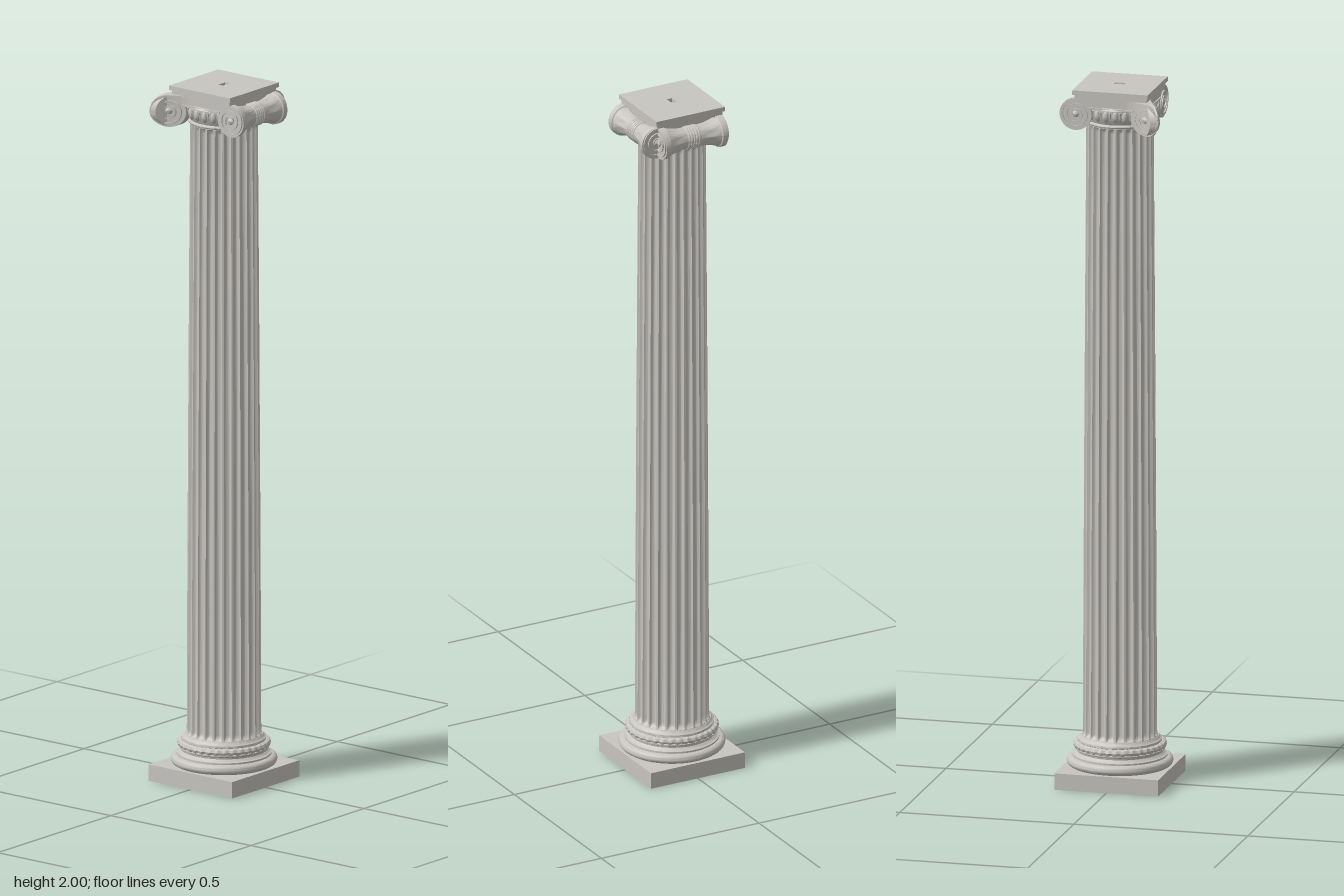
import * as THREE from 'three';
import { toCreasedNormals } from 'three/addons/utils/BufferGeometryUtils.js';

const TAU = Math.PI * 2;
const VOLUTE = { x: 0.102, y: 1.93, r: 0.046 }; // scroll centre offset, height and radius
const FACE = 0.097;                             // distance of the scroll faces from the axis

export function createModel() {
  const stone = new THREE.MeshStandardMaterial({ color: 0xc8c5c0 });
  stone.name = 'pale stone';
  const model = new THREE.Group();
  model.name = 'column';

  const add = (parent, name, geometry, crease = 0.6) => {
    const mesh = new THREE.Mesh(toCreasedNormals(geometry, crease), stone);
    mesh.name = name;
    parent.add(mesh);
    return mesh;
  };
  const box = (w, h, d, x, y, z, segs = 1) => new THREE.BoxGeometry(w, h, d, segs).translate(x, y, z);
  const lathe = (pts, segs) => new THREE.LatheGeometry(pts.map(p => new THREE.Vector2(p[0], p[1])), segs);
  // Moves every vertex by a rule
  const warp = (geometry, rule) => {
    const p = geometry.attributes.position, v = new THREE.Vector3();
    for (let i = 0; i < p.count; i++) {
      rule(v.fromBufferAttribute(p, i));
      p.setXYZ(i, v.x, v.y, v.z);
    }
    geometry.computeVertexNormals();
    return geometry;
  };
  // Half-round moulding points from angle -90 to 90 degrees
  const roll = (r, y, rr, ry, n = 8) => Array.from({ length: n + 1 }, (_, i) => {
    const a = -Math.PI / 2 + Math.PI * i / n;
    return [r + rr * Math.cos(a), y + ry * Math.sin(a)];
  });
  // Ring of ornament with a twisted, rope-like surface
  const rope = (R, r, y, strands, twist) => warp(
    new THREE.TorusGeometry(R, r, 8, strands * 6).rotateX(Math.PI / 2), v => {
      const u = Math.atan2(v.z, v.x), d = Math.hypot(v.x, v.z) - R;
      const k = 1 + 0.16 * Math.cos(strands * u + twist * Math.atan2(v.y, d));
      v.set((R + d * k) * Math.cos(u), v.y * k + y, (R + d * k) * Math.sin(u));
    });

  // Base
  const base = new THREE.Group();
  base.name = 'base';
  model.add(base);
  add(base, 'plinth', box(0.298, 0.047, 0.298, 0, 0.0235, 0));
  add(base, 'baseMouldings', lathe([
    [0, 0.047], ...roll(0.134, 0.061, 0.0145, 0.014), [0.132, 0.075], [0.132, 0.08],
    [0.124, 0.083], [0.12, 0.088], [0.121, 0.093], [0.126, 0.096], [0.126, 0.099],
    ...roll(0.116, 0.108, 0.01, 0.009), [0.117, 0.118], [0.117, 0.124],
    [0.112, 0.126], [0.108, 0.132], [0, 0.132]], 72), 0.7);
  add(base, 'baseRope', rope(0.12, 0.0095, 0.108, 36, 1));

  // Fluted, tapering shaft with rounded flute ends
  const FLUTES = 24, STEPS = 10, y0 = 0.125, y1 = 1.9;
  const ys = [y0, 0.13, 0.134, 0.136, 0.139, 0.144, 0.15];
  for (let i = 1; i < 8; i++) ys.push(0.15 + 1.725 * i / 8);
  ys.push(1.875, 1.881, 1.886, 1.889, 1.891, 1.895, y1);
  const pos = [], index = [], around = FLUTES * STEPS;
  ys.forEach(y => {
    const t = (y - y0) / (y1 - y0);
    const flare = 0.006 * Math.max(0, 1 - (y - y0) / 0.02) ** 2;
    const r = 0.1035 - 0.0095 * t ** 1.3 + flare;
    const end = Math.min(1, Math.max(0, Math.min(y - 0.134, 1.891 - y) / 0.016));
    const depth = 0.0105 * Math.sqrt(1 - (1 - end) ** 2);
    for (let i = 0; i < around; i++) {
      const s = (i % STEPS) / STEPS;          // position across one fillet and flute
      const u = (s - 0.6) / 0.4;
      const rr = r - depth * Math.sqrt(Math.max(0, 1 - u * u));
      const a = TAU * (i / STEPS + 0.4) / FLUTES;
      pos.push(rr * Math.sin(a), y, rr * Math.cos(a));
    }
  });
  for (let j = 0; j < ys.length - 1; j++) for (let i = 0; i < around; i++) {
    const a = j * around + i, b = j * around + (i + 1) % around;
    index.push(a, b, b + around, a, b + around, a + around);
  }
  const shaft = new THREE.BufferGeometry();
  shaft.setAttribute('position', new THREE.Float32BufferAttribute(pos, 3));
  shaft.setIndex(index);
  add(model, 'flutedShaft', shaft, 0.55);

  // Capital: neck beads, echinus and eggs
  const capital = new THREE.Group();
  capital.name = 'capital';
  model.add(capital);
  add(capital, 'echinus', lathe([
    [0, 1.892], [0.094, 1.892], ...roll(0.094, 1.898, 0.004, 0.005, 6),
    [0.095, 1.905], [0.1, 1.915], [0.105, 1.93], [0.105, 1.945], [0.1, 1.952], [0, 1.952]], 64));
  add(capital, 'neckBeads', rope(0.0965, 0.004, 1.898, 48, 0));
  for (let i = 0; i < FLUTES; i++) {
    const a = TAU * (i + 0.5) / FLUTES;
    const egg = new THREE.SphereGeometry(1, 10, 8).scale(0.0085, 0.017, 0.008);
    add(capital, 'egg', egg.rotateX(0.2).translate(0, 1.927, 0.103).rotateY(a));
    const dart = new THREE.ConeGeometry(0.003, 0.03, 4).rotateX(Math.PI + 0.2);
    add(capital, 'dart', dart.translate(0, 1.927, 0.105).rotateY(a + TAU / FLUTES / 2));
  }
  add(capital, 'capitalCore', box(0.188, 0.03, 0.188, 0, 1.963, 0));

  // Spiral ridge and eye on one scroll face; side is the direction the scroll curls
  const spiral = side => {
    const turns = 2.25, n = 72, outer = [], inner = [];
    for (let i = 0; i <= n; i++) {
      const k = i / n, t = TAU * turns * k, r = VOLUTE.r - (VOLUTE.r - 0.012) * k;
      const at = q => new THREE.Vector2(side * (VOLUTE.x + q * Math.sin(t)), VOLUTE.y + q * Math.cos(t));
      outer.push(at(r));
      inner.unshift(at(r - 0.0065 + 0.003 * k));
    }
    return new THREE.ExtrudeGeometry(new THREE.Shape([...outer, ...inner]),
      { depth: 0.005, bevelEnabled: false }).translate(0, 0, FACE - 0.001);
  };
  const eye = side => new THREE.SphereGeometry(0.0095, 16, 10).scale(1, 1, 0.6)
    .translate(side * VOLUTE.x, VOLUTE.y, FACE);
  const disc = side => {
    const rs = [0, 0.25, 0.5, 0.75, 1].map(k => k * VOLUTE.r);
    return lathe([...rs.map(r => [r, -0.022]), ...rs.reverse().map(r => [r, 0])], 40)
      .rotateX(Math.PI / 2).translate(side * VOLUTE.x, VOLUTE.y, FACE);
  };

  // Scrolled face whose end on side s sweeps out to the shared diagonal corner
  const scrolledFace = (s, angle, name) => {
    const face = new THREE.Group();
    face.name = name;
    face.rotation.y = angle;
    capital.add(face);
    const bend = g => warp(g, v => {
      v.z += 0.048 * Math.max(0, (s * v.x - 0.045) / 0.1) ** 1.5;
    });
    const top = VOLUTE.y + VOLUTE.r, w = VOLUTE.x * 2;
    add(face, 'channel', bend(box(w, 0.03, 0.02, 0, top - 0.015, FACE - 0.01, 24)));
    add(face, 'upperRim', bend(box(w, 0.006, 0.005, 0, top - 0.003, FACE + 0.0015, 24)));
    add(face, 'lowerRim', bend(box(0.13, 0.005, 0.005, 0, top - 0.0275, FACE + 0.0015, 24)));
    add(face, 'cornerScroll', bend(disc(s)));
    for (const side of [-1, 1]) {
      add(face, 'scrollSpiral', bend(spiral(side)));
      add(face, 'scrollEye', bend(eye(side)));
    }
  };
  scrolledFace(-1, 0, 'frontFace');
  scrolledFace(1, -Math.PI / 2, 'rightFace');

  // Bolsters: waisted rolls with leaf ribs and a banded belt
  const half = [[0.0305, 0.024], [0.031, 0.03], [0.032, 0.042], [0.0345, 0.055], [0.038, 0.068],
    [0.041, 0.077], [0.042, 0.08], [0.0455, 0.082], [0.046, 0.086], [0.046, FACE], [0, FACE]];
  const belt = [-0.016, -0.008, 0, 0.008, 0.016].flatMap(y => roll(0.031, y, 0.003, 0.004, 4));
  const profile = [...half.map(([r, y]) => [r, -y]).reverse(), ...belt, ...half];
  const bolster = () => warp(lathe(profile, 64), v => {
    const t = Math.abs(v.y);
    if (t < 0.023 || t > 0.0785) return;
    const k = 1 + 0.045 * Math.cos(8 * Math.atan2(v.z, v.x)) * Math.sin((t - 0.023) / 0.0555 * Math.PI);
    v.x *= k;
    v.z *= k;
  });
  add(capital, 'leftBolster', bolster().rotateX(Math.PI / 2).translate(VOLUTE.x, VOLUTE.y, 0));
  add(capital, 'backBolster', bolster().rotateZ(Math.PI / 2).translate(0, VOLUTE.y, -VOLUTE.x));

  // Scroll faces meeting in the inner corner
  for (const [side, angle] of [[-1, Math.PI], [1, Math.PI / 2]]) {
    add(capital, 'innerSpiral', spiral(side).rotateY(angle));
    add(capital, 'innerEye', eye(side).rotateY(angle));
  }

  // Abacus with a small rectangular socket in the top
  add(capital, 'abacusMoulding', box(0.206, 0.014, 0.206, 0, 1.981, 0));
  const rect = (C, w, d) => new C([[-w, -d], [w, -d], [w, d], [-w, d]].map(p => new THREE.Vector2(...p)));
  const slab = rect(THREE.Shape, 0.1085, 0.1085);
  slab.holes.push(rect(THREE.Path, 0.008, 0.015));
  add(capital, 'abacus', new THREE.ExtrudeGeometry(slab, { depth: 0.013, bevelEnabled: false })
    .rotateX(-Math.PI / 2).translate(0, 1.987, 0));
  return model;
}
